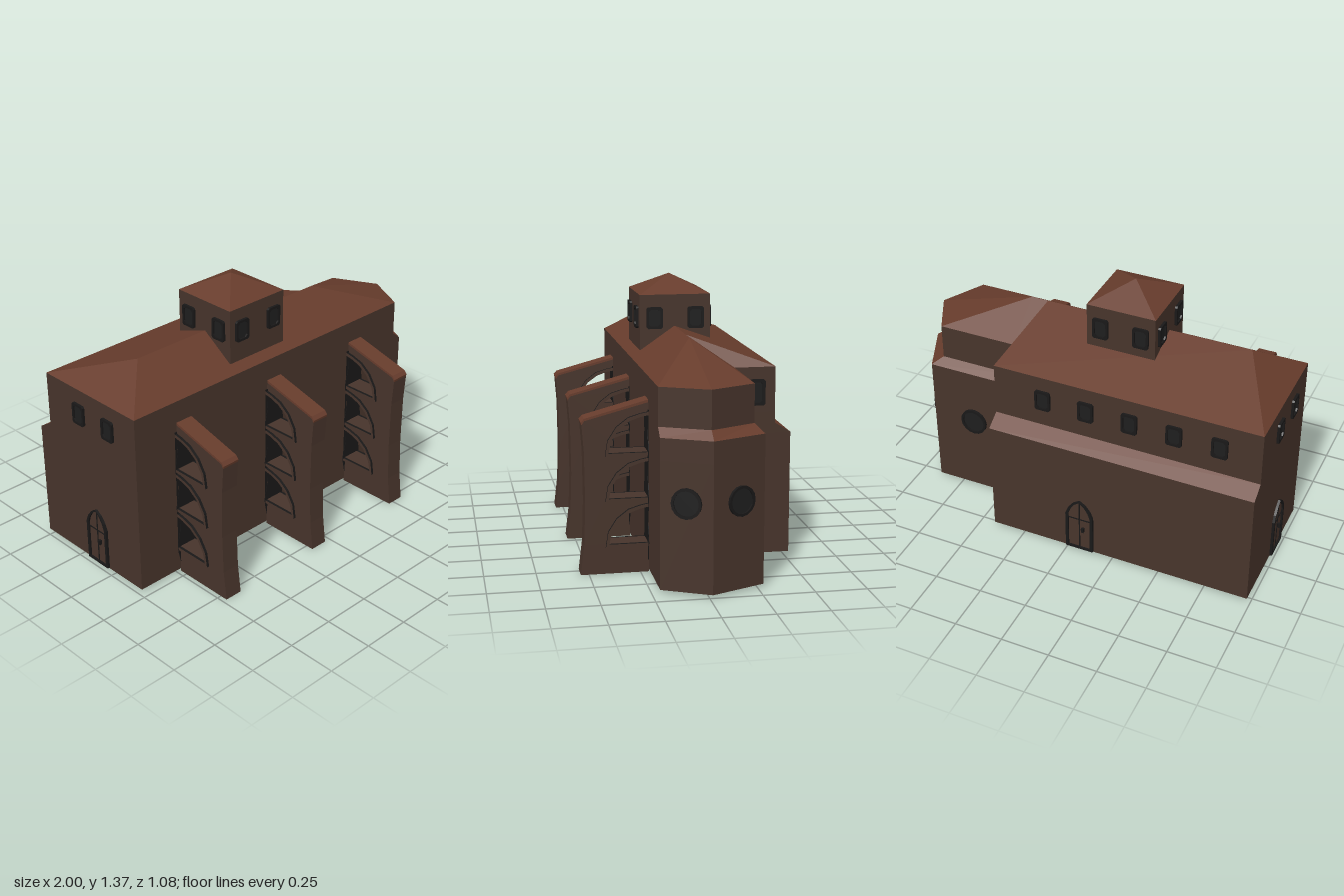
import * as THREE from 'three';

const mat = (name, color, side = THREE.FrontSide) => {
  const m = new THREE.MeshStandardMaterial({ color, flatShading: true, side });
  m.name = name;
  return m;
};

export function createModel() {
  const root = new THREE.Group();
  root.name = 'church';
  const wall = mat('brown stone', 0x47342b, THREE.DoubleSide);
  const tile = mat('red-brown tile', 0x673c2c, THREE.DoubleSide);
  const frameMat = mat('black frame', 0x191818);
  const glass = mat('dark glass', 0x1e1e1e);

  const add = (parent, name, geo, material, x = 0, y = 0, z = 0) => {
    const m = new THREE.Mesh(geo, material);
    m.name = name;
    m.position.set(x, y, z);
    parent.add(m);
    return m;
  };

  // Flat polygons, corners counter-clockwise from outside
  const faces = (list) => {
    const p = [];
    for (const f of list)
      for (let i = 1; i < f.length - 1; i++) p.push(...f[0], ...f[i], ...f[i + 1]);
    const g = new THREE.BufferGeometry();
    g.setAttribute('position', new THREE.Float32BufferAttribute(p, 3));
    g.computeVertexNormals();
    return g;
  };

  // Side quads between two plan outlines of [x, z] points
  const sides = (low, y0, high, y1) => low.map(([x, z], i) => {
    const j = (i + 1) % low.length;
    return [[x, y0, z], [low[j][0], y0, low[j][1]], [high[j][0], y1, high[j][1]], [high[i][0], y1, high[i][1]]];
  });

  // Hollow walls open below; the outline steps in above the aisle and at the apse band
  const plan = (xs, xt, zApse, zBack) => [[-0.98, 0.21], [0.42, 0.21], [xs, 0.21], [xt, -0.015],
    [xs, zApse], [0.42, zApse], [0.42, zBack], [-0.98, zBack]];
  const ground = plan(0.884, 1, -0.28, -0.525);
  const lower = plan(0.884, 1, -0.28, -0.445);
  const upper = plan(0.832, 0.946, -0.24, -0.445);
  const band = sides(lower, 0.735, upper, 0.775);
  const isTile = (i) => i >= 2 && i <= 4;
  add(root, 'walls', faces([
    ...sides(ground, 0.015, ground, 0.63),
    ...sides(lower, 0.63, lower, 0.735),
    ...band.filter((_, i) => !isTile(i)),
    ...sides(upper, 0.775, upper, 0.96),
    [[0.42, 0.63, -0.445], [0.42, 0.63, -0.525], [0.42, 0.68, -0.445]],
    [[-0.98, 0.63, -0.525], [-0.98, 0.63, -0.445], [-0.98, 0.68, -0.445]],
  ]), wall);
  add(root, 'apseTileBand', faces(band.filter((_, i) => isTile(i))), tile);
  add(root, 'aisleRoof', faces([
    [[0.42, 0.63, -0.525], [-0.98, 0.63, -0.525], [-0.98, 0.68, -0.445], [0.42, 0.68, -0.445]],
  ]), tile);

  // Hipped roof over nave and apse
  const e = (x, z) => [x, 0.96, z], r = (x) => [x, 1.115, -0.015];
  const A = e(-0.98, 0.21), M = e(0.42, 0.21), B = e(0.832, 0.21), C = e(0.946, -0.015);
  const D = e(0.832, -0.24), E = e(0.42, -0.24), F = e(0.42, -0.445), G = e(-0.98, -0.445);
  const R0 = r(-0.76), R1 = r(0.33), R2 = r(0.42);
  add(root, 'mainRoof', faces([
    [A, M, R2, R0], [M, B, R2], [B, C, R2], [C, D, R2], [D, E, R2],
    [E, F, R1], [E, R1, R2], [F, G, R0, R1], [G, A, R0],
  ]), tile);

  // Tower
  add(root, 'towerWalls', new THREE.BoxGeometry(0.36, 0.28, 0.362), wall, -0.152, 1.135, -0.018);
  const cap = new THREE.ConeGeometry(0.181 * Math.SQRT2, 0.09, 4).rotateY(Math.PI / 4);
  add(root, 'towerRoof', cap, tile, -0.152, 1.32, -0.018);

  // Openings: outlines
  const chamfered = (w, h, c) => [
    [-w, c - h], [c - w, -h], [w - c, -h], [w, c - h], [w, h - c], [w - c, h], [c - w, h], [-w, h - c],
  ];
  const circle = (rad) => Array.from({ length: 16 }, (_, i) => {
    const t = i * Math.PI / 8;
    return [Math.cos(t) * rad, Math.sin(t) * rad];
  });
  const pointed = (w, h) => [[-w, 0], [w, 0], [w, h * 0.7], [w * 0.8, h * 0.82], [w * 0.45, h * 0.93],
    [0, h], [-w * 0.45, h * 0.93], [-w * 0.8, h * 0.82], [-w, h * 0.7]];
  const shapeOf = (pts) => new THREE.Shape(pts.map(([x, y]) => new THREE.Vector2(x, y)));
  const extrude = (shape, depth) => new THREE.ExtrudeGeometry(shape, { depth, bevelEnabled: false });

  // Frame ring around a thin panel, facing +z before turning
  const opening = (name, outer, inner, panelMat, x, y, z, turn) => {
    const g = new THREE.Group();
    g.name = name;
    g.position.set(x, y, z);
    g.rotation.y = turn;
    const ring = shapeOf(outer);
    ring.holes.push(shapeOf(inner));
    add(g, 'frame', extrude(ring, 0.013), frameMat);
    add(g, 'panel', extrude(shapeOf(inner), 0.004), panelMat);
    root.add(g);
    return g;
  };
  const BACK = Math.PI, LEFT = Math.PI / 2, RIGHT = -Math.PI / 2;
  const win = (name, x, y, z, turn, s = 1) => opening(name,
    chamfered(0.041 * s, 0.055 * s, 0.008), chamfered(0.03 * s, 0.043 * s, 0.012), glass, x, y, z, turn);

  // Tower windows, two per side
  for (const d of [-0.106, 0.106]) {
    win('towerWindow', -0.152 + d, 1.157, 0.163, 0);
    win('towerWindow', -0.152 + d, 1.157, -0.199, BACK);
    win('towerWindow', 0.028, 1.157, -0.018 + d, LEFT);
    win('towerWindow', -0.332, 1.157, -0.018 + d, RIGHT);
  }

  // Clerestory windows
  for (let i = 0; i < 5; i++) win('clerestoryWindow', -0.77 + i * 0.231, 0.83, -0.445, BACK);
  for (const z of [-0.2, 0.015]) win('endWindow', -0.98, 0.83, z, RIGHT);
  win('shoulderWindow', 0.42, 0.835, -0.345, LEFT, 1.18);

  // Round apse windows
  const rose = (x, z, turn) => opening('roundWindow', circle(0.073), circle(0.06), glass, x, 0.438, z, turn);
  rose(0.942, 0.0975, Math.atan2(0.225, 0.116) - LEFT + Math.atan2(0.225, 0.116) - Math.atan2(0.225, 0.116) + LEFT);
  rose(0.938, -0.1565, Math.PI - Math.atan2(0.265, 0.116));
  rose(0.65, -0.28, BACK);

  // Pointed doors with rails and a handle
  const door = (x, z, turn) => {
    const inner = pointed(0.06, 0.29).map(([px, py]) => [px, py + 0.012]);
    const g = opening('door', pointed(0.075, 0.31), inner, wall, x, 0.02, z, turn);
    add(g, 'centreRail', new THREE.BoxGeometry(0.006, 0.28, 0.004), frameMat, 0, 0.15, 0.005);
    add(g, 'crossRail', new THREE.BoxGeometry(0.12, 0.006, 0.004), frameMat, 0, 0.19, 0.005);
    add(g, 'handle', new THREE.BoxGeometry(0.014, 0.025, 0.016), frameMat, 0.02, 0.13, 0.01);
  };
  door(-0.075, -0.525, BACK);
  door(-0.98, -0.11, RIGHT);

  // Flying buttresses: side profile in (z, y), pierced by three half arches
  const arch = (y, o) => [
    [0.212, y - o], [0.402 + o, y - o], [0.39 + o, y + 0.055 + o * 0.3], [0.352 + o * 0.8, y + 0.115 + o * 0.6],
    [0.3 + o * 0.5, y + 0.152 + o], [0.25, y + 0.17 + o], [0.212, y + 0.177 + o],
  ];
  const slab = (shape, width) => extrude(shape, width).translate(0, 0, -width / 2).rotateY(-Math.PI / 2);
  const profile = shapeOf([[0.21, 0], [0.54, 0], [0.522, 0.15], [0.515, 0.35], [0.518, 0.6],
    [0.528, 0.735], [0.515, 0.755], [0.21, 0.835]]);
  const levels = [0.15, 0.375, 0.597];
  for (const y of levels) profile.holes.push(shapeOf(arch(y, 0)));
  const capShape = shapeOf([[0.21, 0.835], [0.515, 0.755], [0.528, 0.735], [0.531, 0.748], [0.516, 0.766], [0.21, 0.848]]);

  // Wavy dark backing plate on the wall, widest at each arch springing
  const edge = Array.from({ length: 25 }, (_, i) => {
    const y = 0.02 + i * 0.0325;
    return [0.054 + 0.009 * Math.cos((y - 0.15) / 0.2235 * Math.PI * 2), y];
  });
  const backing = shapeOf([...edge, ...edge.map(([x, y]) => [-x, y]).reverse()]);

  for (const x of [-0.68, -0.08, 0.518]) {
    const g = new THREE.Group();
    g.name = 'buttress';
    g.position.x = x;
    root.add(g);
    add(g, 'pier', slab(profile, 0.094), wall);
    add(g, 'coping', slab(capShape, 0.094), tile);
    add(g, 'backing', extrude(backing, 0.008), frameMat, 0, 0, 0.206);
    for (const y of levels) {
      const trim = shapeOf(arch(y, 0.017));
      trim.holes.push(shapeOf(arch(y, 0.001)));
      add(g, 'archTrim', slab(trim, 0.122), [wall, frameMat]);
    }
  }
  return root;
}
